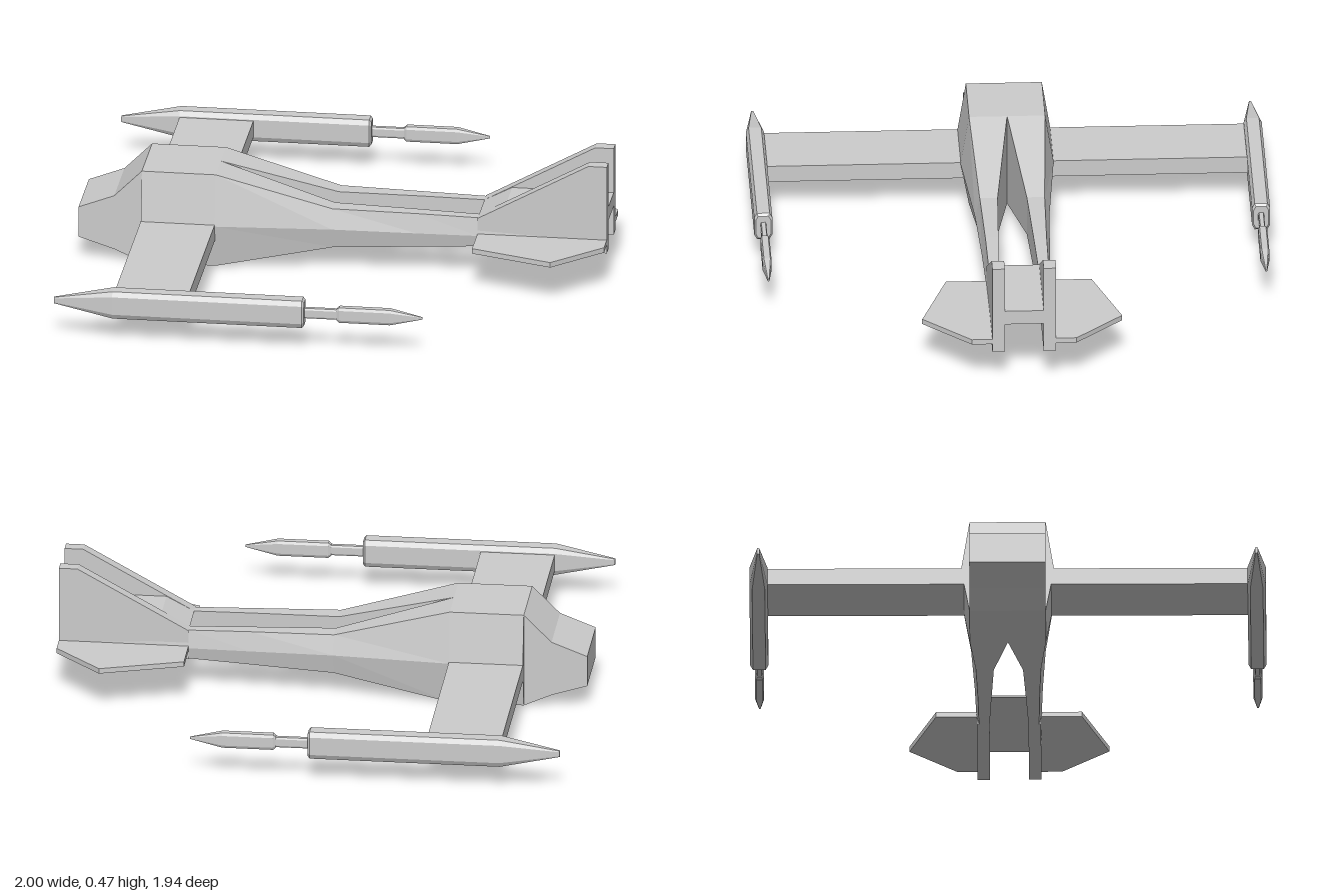
import * as THREE from 'three';

const material = new THREE.MeshStandardMaterial({ color: 0xcccccc, flatShading: true });

// Closed convex loft along x; sections are [x, ring], ring = [[z, y], ...]
// running counter-clockwise with z to the right and y up.
function loft(sections) {
  const pos = [];
  const n = sections[0][1].length;
  const at = (s, i) => [sections[s][0], sections[s][1][i % n][1], sections[s][1][i % n][0]];
  const tri = (a, b, c) => pos.push(...a, ...b, ...c);
  const last = sections.length - 1;
  for (let s = 0; s < last; s++) {
    for (let i = 0; i < n; i++) {
      tri(at(s, i), at(s + 1, i), at(s, i + 1));
      tri(at(s, i + 1), at(s + 1, i), at(s + 1, i + 1));
    }
  }
  for (let i = 1; i < n - 1; i++) {
    tri(at(0, 0), at(0, i), at(0, i + 1));
    tri(at(last, 0), at(last, i + 1), at(last, i));
  }
  const geo = new THREE.BufferGeometry();
  geo.setAttribute('position', new THREE.Float32BufferAttribute(pos, 3));
  geo.computeVertexNormals();
  return geo;
}

// Mirror the rings of a loft across z = 0
const mirrored = (sections) =>
  sections.map(([x, ring]) => [x, ring.map(([z, y]) => [-z, y]).reverse()]);

const rect = (w, y0, y1) => [[-w, y0], [w, y0], [w, y1], [-w, y1]];

// Octagon: rectangle with chamfered corners, half sizes w and h
function octagon(cz, cy, w, h) {
  const a = w * 0.7, b = h * 0.65;
  return [[-a, -h], [a, -h], [w, -b], [w, b], [a, h], [-a, h], [-w, b], [-w, -b]]
    .map(([z, y]) => [cz + z, cy + y]);
}

function extrude(points, depth) {
  const shape = new THREE.Shape(points.map(([x, y]) => new THREE.Vector2(x, y)));
  return new THREE.ExtrudeGeometry(shape, { depth, bevelEnabled: false });
}

export function createModel() {
  const model = new THREE.Group();
  const add = (name, geo, parent = model) => {
    const mesh = new THREE.Mesh(geo, material);
    mesh.name = name;
    parent.add(mesh);
    return mesh;
  };

  // Wedge nose
  add('nose', loft([
    [-1, rect(0.143, 0.09, 0.21)],
    [-0.865, rect(0.143, 0.047, 0.262)],
    [-0.76, rect(0.143, 0, 0.367)],
  ]));

  // Hexagonal mid body
  const hex = [[-0.143, 0], [0.143, 0], [0.175, 0.17], [0.143, 0.367], [-0.143, 0.367], [-0.175, 0.17]];
  add('midBody', loft([[-0.76, hex], [-0.48, hex]]));

  // Rear body splits into two booms: x, inner z, outer z, widest z, bottom, middle, top
  const boom = [
    [-0.48, 0, 0.143, 0.175, 0, 0.17, 0.367],
    [-0.04, 0.055, 0.122, 0.14, 0.09, 0.168, 0.245],
    [0.28, 0.066, 0.115, 0.128, 0.107, 0.165, 0.24],
    [0.51, 0.073, 0.113, 0.123, 0.12, 0.165, 0.235],
    [1, 0.073, 0.113, 0.12, 0.12, 0.165, 0.235],
  ].map(([x, inner, outer, wide, y0, ym, y1]) =>
    [x, [[inner, y0], [outer, y0], [wide, ym], [outer, y1], [inner, y1]]]);

  // Bridge between the fins
  const bridge = add('tailBridge',
    extrude([[0.51, 0.235], [1, 0.235], [1, 0.29], [0.615, 0.29]], 0.15));
  bridge.position.z = -0.075;

  for (const side of [1, -1]) {
    const label = side > 0 ? 'front' : 'back';
    add(label + 'Boom', loft(side > 0 ? boom : mirrored(boom)));

    // Upright fin
    const fin = add(label + 'Fin',
      extrude([[0.51, 0.12], [1, 0.12], [1, 0.467], [0.93, 0.467], [0.51, 0.235]], 0.047));
    fin.position.z = side > 0 ? 0.073 : -0.12;

    // Flat tailplane, drawn in plan and laid down
    const plan = [[0.51, 0.1], [1, 0.1], [1, 0.197], [0.82, 0.376], [0.51, 0.274]];
    const plane = extrude(plan.map(([x, z]) => [x, side * z]), 0.02);
    plane.rotateX(Math.PI / 2);
    plane.translate(0, 0.173, 0);
    add(label + 'Tailplane', plane);

    // Straight wing
    const wing = add(label + 'Wing', new THREE.BoxGeometry(0.28, 0.065, 0.77));
    wing.position.set(-0.62, 0.143, side * 0.525);

    // Wing-tip pod with a pointed barrel
    const pod = new THREE.Group();
    pod.name = label + 'Pod';
    model.add(pod);
    const z = side * 0.936, y = 0.145;
    const ring = (x, w, h) => [x, octagon(z, y, w, h)];
    add('podBody', loft([
      ring(-0.985, 0.005, 0.012), ring(-0.76, 0.034, 0.054),
      ring(-0.042, 0.034, 0.054), ring(-0.034, 0.028, 0.045),
    ]), pod);
    add('barrelNeck', loft([ring(-0.04, 0.011, 0.02), ring(0.1, 0.011, 0.02)]), pod);
    add('barrelTip', loft([
      ring(0.088, 0.012, 0.022), ring(0.098, 0.017, 0.03),
      ring(0.29, 0.017, 0.03), ring(0.413, 0.003, 0.004),
    ]), pod);
  }
  return model;
}
